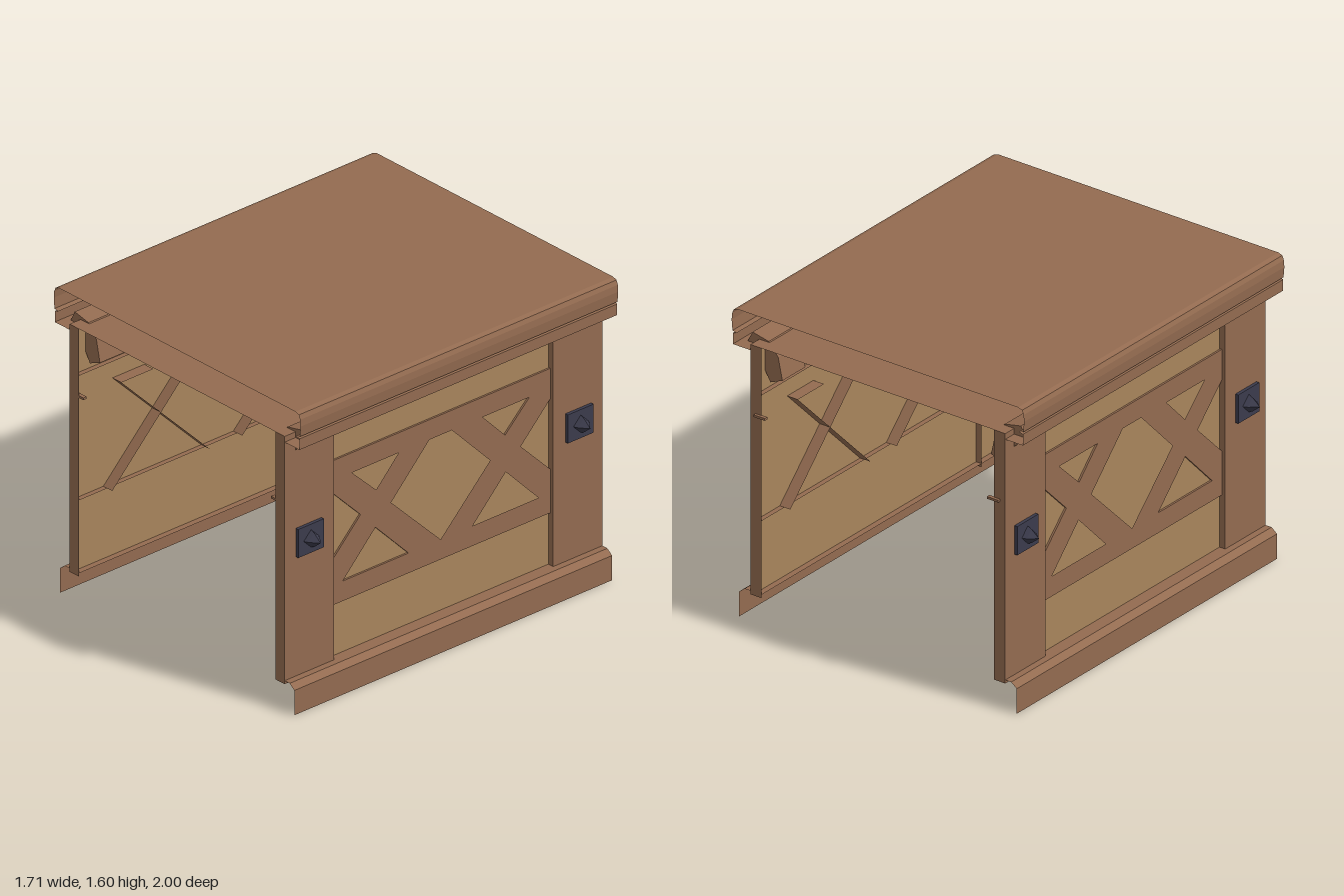
import * as THREE from 'three';

const mat = (color, side = THREE.FrontSide) =>
  new THREE.MeshStandardMaterial({ color, side, flatShading: true, roughness: 0.9 });
const wood = mat(0x936b50);
const woodSheet = mat(0x936b50, THREE.DoubleSide);
const tan = mat(0xa8855c, THREE.DoubleSide);
const iron = mat(0x3b3b4c);

const MID = 0.0075;   // middle of the walls along z
const HALF = 0.9925;  // half length of the walls
const INNER = 0.685;  // half length between the posts
const PANEL = 0.712;  // x of the plank panel

function mesh(name, geometry, material) {
  const m = new THREE.Mesh(geometry, material);
  m.name = name;
  return m;
}

// Outline given as [z offset from the middle, y]
const outline = pts => pts.map(([w, y]) => new THREE.Vector2(-w, y));
const flip = pts => pts.map(([w, y]) => [-w, y]);
const rect = (w0, w1, y0, y1) => [[w0, y0], [w1, y0], [w1, y1], [w0, y1]];

// Board lying in the wall plane, from x0 to x1
function board(pts, x0, x1, holes = []) {
  const shape = new THREE.Shape(outline(pts));
  holes.forEach(h => shape.holes.push(new THREE.Path(outline(h))));
  const g = new THREE.ExtrudeGeometry(shape, { depth: x1 - x0, bevelEnabled: false });
  return g.rotateY(Math.PI / 2).translate(x0, 0, MID);
}

// Only the edge faces of a board, without its two flat faces
function rim(pts, x0, x1) {
  const full = board(pts, x0, x1);
  const { start, count } = full.groups.find(gr => gr.materialIndex === 1);
  const g = new THREE.BufferGeometry();
  const pos = full.attributes.position.array.slice(start * 3, (start + count) * 3);
  g.setAttribute('position', new THREE.BufferAttribute(pos, 3));
  g.computeVertexNormals();
  return g;
}

// Open sheet: a profile of [x, y] swept along the whole length
function sheet(profile) {
  const pos = [];
  for (let i = 0; i < profile.length - 1; i++) {
    const [a, b] = [profile[i], profile[i + 1]];
    const q = [[...a, MID + HALF], [...b, MID + HALF], [...b, MID - HALF], [...a, MID - HALF]];
    [0, 2, 1, 0, 3, 2].forEach(k => pos.push(...q[k]));
  }
  const g = new THREE.BufferGeometry();
  g.setAttribute('position', new THREE.Float32BufferAttribute(pos, 3));
  g.computeVertexNormals();
  return g;
}

// Square plate with a four-sided spike
function stud(z) {
  const g = new THREE.Group();
  g.name = 'stud';
  const plate = mesh('studPlate', new THREE.BoxGeometry(0.017, 0.15, 0.16), iron);
  plate.position.x = 0.7535;
  const base = mesh('studBase', new THREE.CylinderGeometry(0.036, 0.046, 0.022, 4), iron);
  const tip = mesh('studTip', new THREE.ConeGeometry(0.036, 0.044, 4), iron);
  base.rotation.z = tip.rotation.z = -Math.PI / 2;
  base.position.x = 0.773;
  tip.position.x = 0.806;
  g.add(plate, base, tip);
  g.position.set(0, 0.857, z);
  return g;
}

function buildWall() {
  const wall = new THREE.Group();

  // Plank panel
  const panel = new THREE.PlaneGeometry(2 * HALF, 1.303).rotateY(Math.PI / 2);
  panel.translate(PANEL, 0.7885, MID);
  wall.add(mesh('panel', panel, tan));

  // Cross lattice cut out of one board, notched at both ends
  const topTri = [[0.555, 1.085], [0.262, 1.085], [0.403, 0.94]];
  const lowTri = [[0.612, 0.535], [0.2, 0.535], [0.407, 0.745]];
  const notch = [[INNER, 0.66], [0.5, 0.845], [INNER, 1.03]];
  const edge = [[INNER, 0.43], ...notch, [INNER, 1.19]];
  const centre = [[0.07, 1.085], [-0.07, 1.085], [-0.31, 0.84], [0, 0.535], [0.31, 0.84]];
  wall.add(mesh('lattice', board([...edge, ...flip(edge).reverse()], PANEL + 0.003, 0.725,
    [topTri, flip(topTri), lowTri, flip(lowTri), centre]), wood));

  // Rails: raised edges along the inside
  for (const [y0, y1] of [[0.43, 0.535], [1.085, 1.19]])
    wall.add(mesh('railEdge', rim(rect(-HALF, HALF, y0, y1), 0.685, PANEL), wood));

  // Diagonal braces on the inside
  const falling = [[0.555, 1.085], [0.755, 1.085], [0.2, 0.535], [0, 0.535]];
  const rising = [[0.07, 1.085], [0.262, 1.085], [0.812, 0.535], [0.612, 0.535]];
  for (const b of [falling, rising])
    for (const pts of [b, flip(b)])
      wall.add(mesh('brace', rim(pts, 0.65, PANEL), wood));

  // Roof bracket section
  const bracketShape = new THREE.Shape([[0.785, 1.465], [0.69, 1.445], [0.635, 1.38],
    [0.61, 1.265], [0.68, 1.235], [0.745, 1.345], [0.815, 1.405]]
    .map(p => new THREE.Vector2(...p)));

  // Posts with their studs, brackets and pegs
  for (const s of [1, -1]) {
    const pts = rect(s * INNER, s * HALF, 0.137, 1.44);
    wall.add(mesh('post', board(pts, PANEL + 0.003, 0.745), wood));
    wall.add(mesh('postEdge', rim(pts, 0.68, PANEL + 0.003), wood));
    wall.add(stud(MID + s * 0.8425));
    const bracket = new THREE.ExtrudeGeometry(bracketShape, { depth: 0.175, bevelEnabled: false });
    bracket.translate(0, 0, MID + s * 0.837 - 0.0875);
    wall.add(mesh('bracket', bracket, wood));
    const peg = mesh('peg', new THREE.BoxGeometry(0.065, 0.012, 0.02), wood);
    peg.position.set(0.6825, 1.083, s * 0.99);
    wall.add(peg);
  }

  // Bent skirt along the foot
  wall.add(mesh('skirt', sheet([[0.68, 0.155], [0.78, 0.155], [0.812, 0.13], [0.812, 0]]), woodSheet));
  return wall;
}

export function createModel() {
  const model = new THREE.Group();
  model.name = 'timberShelter';

  // Two mirrored walls
  for (const s of [1, -1]) {
    const wall = buildWall();
    wall.name = s > 0 ? 'leftWall' : 'rightWall';
    wall.scale.x = s;
    model.add(wall);
  }

  // Hollow roof with moulded eaves, open at both ends
  const eave = [[0.82, 1.6], [0.843, 1.592], [0.852, 1.57], [0.855, 1.535], [0.85, 1.48],
    [0.825, 1.475], [0.848, 1.468], [0.848, 1.41], [0.745, 1.41], [0.72, 1.44]];
  const loop = [...eave, ...eave.map(([x, y]) => [-x, y]).reverse(), eave[0]];
  model.add(mesh('roof', sheet(loop), woodSheet));
  return model;
}
